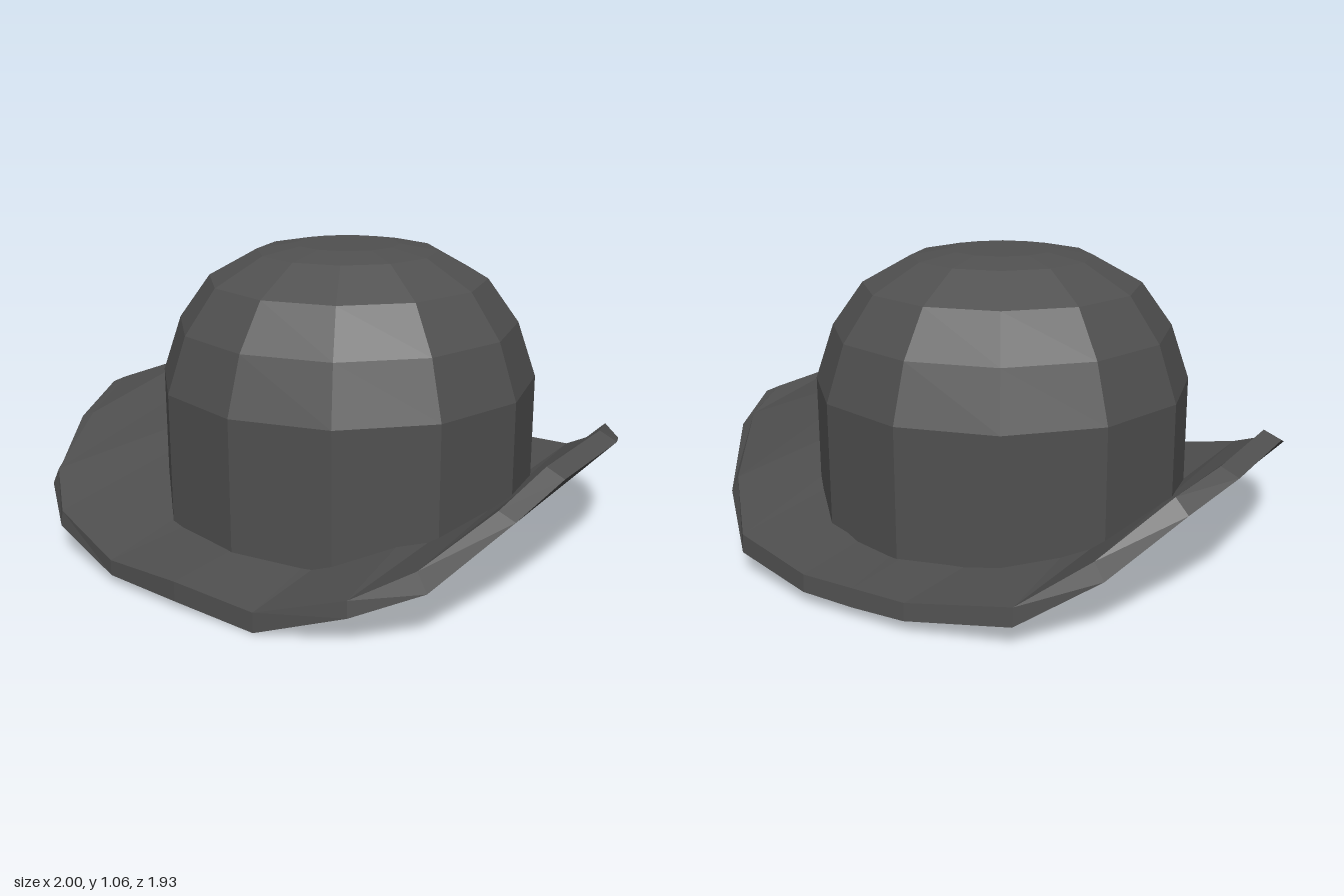
import * as THREE from 'three';

const felt = new THREE.MeshStandardMaterial({ color: 0x505050, flatShading: true });

// Twelve-sided domed crown whose lower edge follows the curve of the brim
function makeCrown() {
  const profile = [[0.70, 0], [0.70, 0.57], [0.63, 0.775], [0.515, 0.935], [0.335, 1.035], [0.19, 1.06], [0, 1.06]];
  const geo = new THREE.LatheGeometry(profile.map(([r, y]) => new THREE.Vector2(r, y)), 12);
  const pos = geo.attributes.position;
  for (let i = 0; i < pos.count; i++) {
    if (pos.getY(i) < 0.01) pos.setY(i, 0.06 + 0.38 * Math.abs(pos.getX(i)) ** 3);
  }
  geo.translate(0.01, -0.01, 0);
  geo.translate(0, 0.01, -0.01);
  geo.computeVertexNormals();
  const mesh = new THREE.Mesh(geo, felt);
  mesh.name = 'crown';
  return mesh;
}

// Brim: lofted across x from sections [upper back, upper front, lower front, lower back]
function makeBrim() {
  const half = [
    [[0.20, 0.105, -0.965], [0.30, 0.085, 0.95], [0.30, 0.03, 0.95], [0.20, 0.045, -0.97]],
    [[0.54, 0.14, -0.88], [0.61, 0.165, 0.875], [0.615, 0.11, 0.88], [0.54, 0.075, -0.885]],
    [[0.72, 0.26, -0.70], [0.77, 0.25, 0.74], [0.805, 0.185, 0.74], [0.755, 0.20, -0.70]],
    [[0.87, 0.41, -0.44], [0.885, 0.37, 0.45], [0.945, 0.345, 0.45], [0.92, 0.36, -0.45]],
    [[0.935, 0.455, -0.22], [0.935, 0.455, 0.22], [1, 0.425, 0.22], [1, 0.425, -0.22]],
  ];
  const middle = [[0, 0.105, -0.965], [0, 0.095, 0.965], [0, 0.025, 0.965], [0, 0.04, -0.97]];
  const mirrored = half.map((s) => s.map(([x, y, z]) => [-x, y, z])).reverse();
  const left = half.map((s) => s.map((p) => [...p]));
  // slight dip in the front edge on the left
  left[0][1] = [0.31, 0.07, 0.95];
  left[0][2] = [0.31, 0, 0.95];
  const sections = [...mirrored, middle, ...left];

  const index = [];
  for (let i = 0; i < sections.length - 1; i++) {
    for (let k = 0; k < 4; k++) {
      const a = i * 4 + k, b = i * 4 + (k + 1) % 4;
      index.push(a, b, b + 4, a, b + 4, a + 4);
    }
  }
  // end caps
  const e = (sections.length - 1) * 4;
  index.push(e, e + 1, e + 2, e, e + 2, e + 3, 0, 2, 1, 0, 3, 2);

  const geo = new THREE.BufferGeometry();
  geo.setAttribute('position', new THREE.Float32BufferAttribute(sections.flat(2), 3));
  geo.setIndex(index);
  geo.computeVertexNormals();
  const mesh = new THREE.Mesh(geo, felt);
  mesh.name = 'brim';
  return mesh;
}

export function createModel() {
  const hat = new THREE.Group();
  hat.name = 'hat';
  hat.add(makeCrown(), makeBrim());
  return hat;
}
